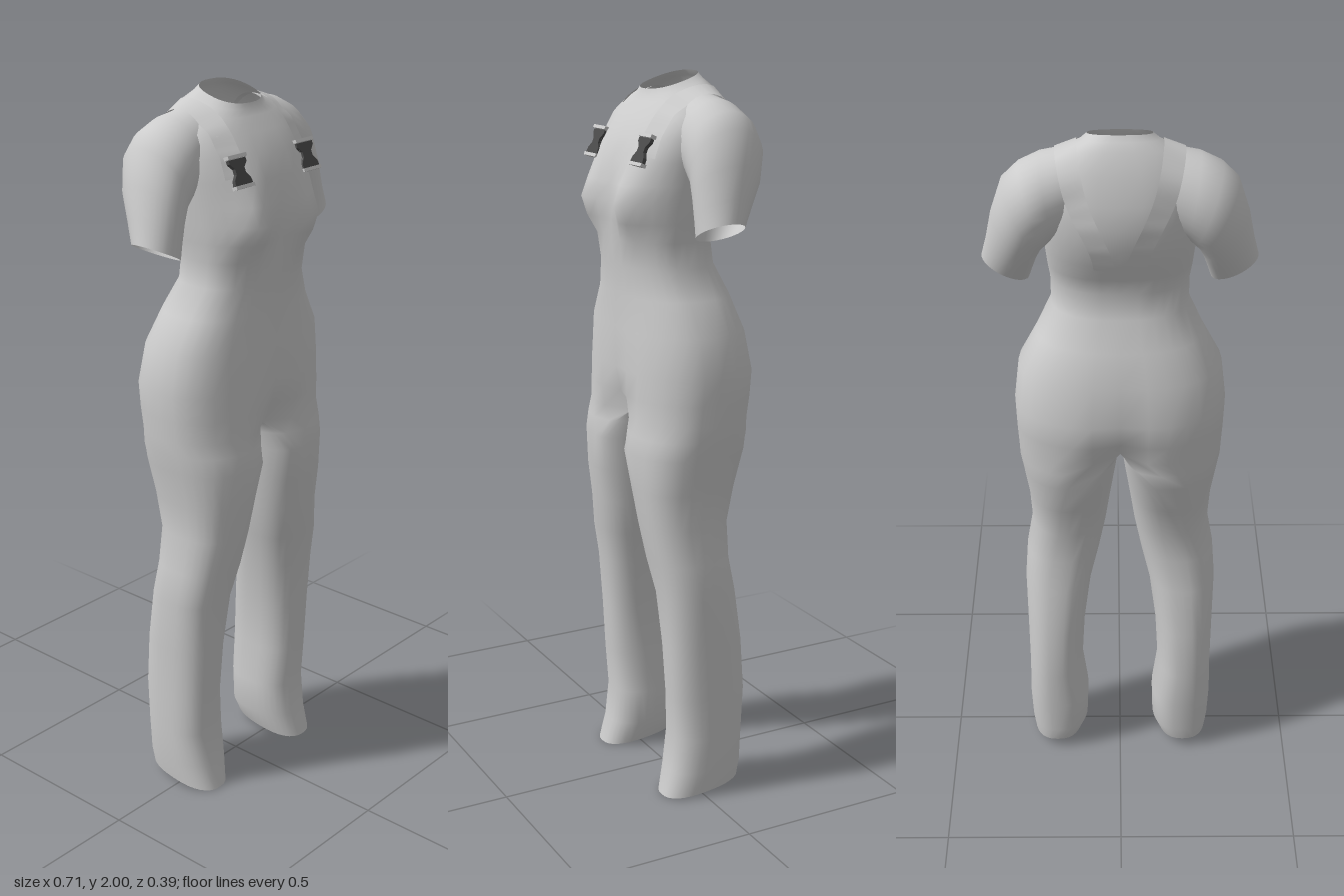
import * as THREE from 'three';
import { mergeGeometries, mergeVertices } from 'three/addons/utils/BufferGeometryUtils.js';

const N = 32;
const pw = (v, p) => Math.sign(v) * Math.pow(Math.abs(v), p);

// Skin a list of closed rings of points; flip reverses the facing
function loft(rings, flip) {
  const pos = rings.flat().flatMap((p) => [p.x, p.y, p.z]);
  const idx = [];
  for (let i = 0; i < rings.length - 1; i++) {
    for (let j = 0; j < N; j++) {
      const a = i * N + j, b = i * N + (j + 1) % N, c = b + N, d = a + N;
      if (flip) idx.push(a, c, b, a, d, c);
      else idx.push(a, b, c, a, c, d);
    }
  }
  const g = new THREE.BufferGeometry();
  g.setAttribute('position', new THREE.Float32BufferAttribute(pos, 3));
  g.setIndex(idx);
  return g;
}

// Horizontal section between inner and outer x; split is the x of its front and back middle
function section({ y, inner, outer, split, front, back, cleft = 0, tilt = 0, bust = 0 }, side = 1) {
  const mid = (front + back) / 2, r = (front - back) / 2;
  return Array.from({ length: N }, (_, j) => {
    const t = (j / N) * Math.PI * 2, s = pw(Math.sin(t), 0.82), c = pw(Math.cos(t), 0.82);
    const x = split + (s > 0 ? (outer - split) * s : (split - inner) * s);
    let z = mid + r * c * (1 - cleft * Math.exp(-((x / 0.06) ** 2)));
    if (c > 0) z += bust * Math.exp(-(((Math.abs(x) - 0.11) / 0.06) ** 2));
    return new THREE.Vector3(x * side, y - tilt * c, z);
  });
}

export function createModel() {
  const group = new THREE.Group();
  const cloth = new THREE.MeshStandardMaterial({ color: 0xcccccc, side: THREE.DoubleSide });
  cloth.name = 'light grey cloth';
  const dark = new THREE.MeshStandardMaterial({ color: 0x4a4a4a });
  dark.name = 'dark grey buckle';
  const add = (name, geo, mat, parent = group) => {
    const m = new THREE.Mesh(geo, mat);
    m.name = name;
    parent.add(m);
    return m;
  };

  // Torso: y, half width, front z, back z, cleft, neck tilt, bust
  const torso = [
    [1.09, 0.28, 0.16, -0.19, 0.4],
    [1.15, 0.283, 0.158, -0.198, 0.16],
    [1.22, 0.285, 0.155, -0.203, 0.07],
    [1.33, 0.272, 0.15, -0.18, 0.03],
    [1.42, 0.222, 0.142, -0.15],
    [1.5, 0.182, 0.148, -0.113],
    [1.57, 0.183, 0.153, -0.102, 0, 0, 0.005],
    [1.62, 0.19, 0.153, -0.122, 0, 0, 0.035],
    [1.67, 0.195, 0.156, -0.142, 0, 0, 0.05],
    [1.72, 0.2, 0.153, -0.158, 0, 0, 0.033],
    [1.78, 0.205, 0.147, -0.166, 0, 0, 0.01],
    [1.84, 0.21, 0.125, -0.16],
    [1.9, 0.195, 0.092, -0.142, 0, 0.01],
    [1.945, 0.14, 0.066, -0.118, 0, 0.02],
    [1.963, 0.1, 0.055, -0.1, 0, 0.022],
    [1.978, 0.082, 0.05, -0.09, 0, 0.022],
  ].map(([y, w, front, back, cleft, tilt, bust]) =>
    section({ y, inner: -w, outer: w, split: 0, front, back, cleft, tilt, bust }));

  // Legs: y, inner x, outer x, front z, back z, split, cleft, hem tilt
  const legRows = [
    [0.02, 0.12, 0.262, 0.105, -0.13, 0.5, 0, 0.015],
    [0.08, 0.1, 0.268, 0.085, -0.138, 0.5],
    [0.18, 0.097, 0.272, 0.072, -0.14, 0.5],
    [0.3, 0.113, 0.27, 0.08, -0.145, 0.5],
    [0.45, 0.105, 0.272, 0.088, -0.135, 0.5],
    [0.6, 0.085, 0.275, 0.1, -0.115, 0.5],
    [0.7, 0.06, 0.268, 0.12, -0.1, 0.5],
    [0.8, 0.04, 0.25, 0.135, -0.105, 0.5],
    [0.9, 0.026, 0.256, 0.15, -0.13, 0.46],
    [1.0, 0.012, 0.27, 0.16, -0.165, 0.34],
    [1.05, 0.005, 0.278, 0.16, -0.18, 0.18, 0.3],
    [1.09, 0, 0.28, 0.16, -0.19, 0, 0.4],
  ];
  const leg = (side) => loft(legRows.map(([y, inner, outer, front, back, k, cleft, tilt]) =>
    section({ y, inner, outer, split: inner + (outer - inner) * k, front, back, cleft, tilt }, side)), side < 0);

  // Torso and legs share their seam vertices for smooth shading
  const bodyGeo = mergeVertices(mergeGeometries([loft(torso), leg(1), leg(-1)]), 1e-4);
  bodyGeo.computeVertexNormals();
  const body = add('overallsBody', bodyGeo, cloth);

  // Sleeves: top x, y, underarm x, y, z centre, z radius
  const sleeveRows = [
    [0.11, 1.955, 0.13, 1.74, -0.045, 0.085],
    [0.2, 1.938, 0.165, 1.72, -0.052, 0.102],
    [0.255, 1.912, 0.185, 1.7, -0.055, 0.107],
    [0.297, 1.87, 0.2, 1.685, -0.053, 0.105],
    [0.326, 1.78, 0.213, 1.655, -0.042, 0.095],
    [0.342, 1.7, 0.225, 1.615, -0.025, 0.078],
    [0.357, 1.64, 0.235, 1.58, -0.01, 0.064],
  ];
  const solids = [body];
  for (const side of [1, -1]) {
    const rings = sleeveRows.map(([ox, oy, ix, iy, cz, rz]) => Array.from({ length: N }, (_, j) => {
      const t = (j / N) * Math.PI * 2, c = (1 + Math.cos(t)) / 2;
      return new THREE.Vector3(side * (ix + (ox - ix) * c), iy + (oy - iy) * c, cz + rz * Math.sin(t));
    }));
    const g = loft(rings, side < 0);
    g.computeVertexNormals();
    solids.push(add(side > 0 ? 'leftSleeve' : 'rightSleeve', g, cloth));
  }
  group.updateMatrixWorld(true);

  // Point on the clothing at a given x and angle around the shoulder
  const ray = new THREE.Raycaster();
  function onCloth(x, angle, lift) {
    const dir = new THREE.Vector3(0, Math.sin(angle), Math.cos(angle));
    const from = new THREE.Vector3(x, 1.75, -0.03).addScaledVector(dir, 0.6);
    ray.set(from, dir.clone().negate());
    const hit = ray.intersectObjects(solids, false)[0];
    return (hit ? hit.point : from.addScaledVector(dir, -0.45)).addScaledVector(dir, lift);
  }

  // Buckle outline, narrow in the middle
  const outline = new THREE.Shape([
    [-0.033, -0.036], [0.033, -0.036], [0.03, -0.022], [0.018, -0.008], [0.018, 0.006],
    [0.032, 0.02], [0.032, 0.03], [-0.032, 0.03], [-0.032, 0.02], [-0.018, 0.006],
    [-0.018, -0.008], [-0.03, -0.022],
  ].map(([x, y]) => new THREE.Vector2(x, y)));
  const buckleGeo = new THREE.ExtrudeGeometry(outline, { depth: 0.01, bevelEnabled: false });
  const barGeo = new THREE.BoxGeometry(0.07, 0.009, 0.016);

  for (const side of [1, -1]) {
    const label = side > 0 ? 'left' : 'right';
    // Strap over the shoulder, closing in towards the middle of the back
    const pos = [], idx = [], steps = 36;
    for (let i = 0; i <= steps; i++) {
      const deg = 16 + (i / steps) * 205;
      const x = 0.135 - 0.095 * THREE.MathUtils.smoothstep(deg, 95, 225);
      for (const e of [-0.027, 0.027]) {
        const p = onCloth(side * (x + e), THREE.MathUtils.degToRad(deg), 0.004);
        pos.push(p.x, p.y, p.z);
      }
      const a = i * 2;
      if (i < steps) idx.push(...(side > 0 ? [a, a + 1, a + 3, a, a + 3, a + 2] : [a, a + 3, a + 1, a, a + 2, a + 3]));
    }
    const strap = new THREE.BufferGeometry();
    strap.setAttribute('position', new THREE.Float32BufferAttribute(pos, 3));
    strap.setIndex(idx);
    strap.computeVertexNormals();
    add(label + 'Strap', strap, cloth);

    // Buckle lying on the chest with light bars at both ends
    const low = onCloth(side * 0.133, 0.12, 0.006), high = onCloth(side * 0.133, 0.6, 0.006);
    const buckle = new THREE.Group();
    buckle.name = label + 'Buckle';
    buckle.position.copy(onCloth(side * 0.133, 0.38, 0.006));
    buckle.rotation.x = -Math.atan2(low.z - high.z, high.y - low.y);
    add('buckleBody', buckleGeo, dark, buckle);
    add('upperBar', barGeo, cloth, buckle).position.set(0, 0.036, 0.006);
    add('lowerBar', barGeo, cloth, buckle).position.set(0, -0.041, 0.005);
    group.add(buckle);
  }
  return group;
}
